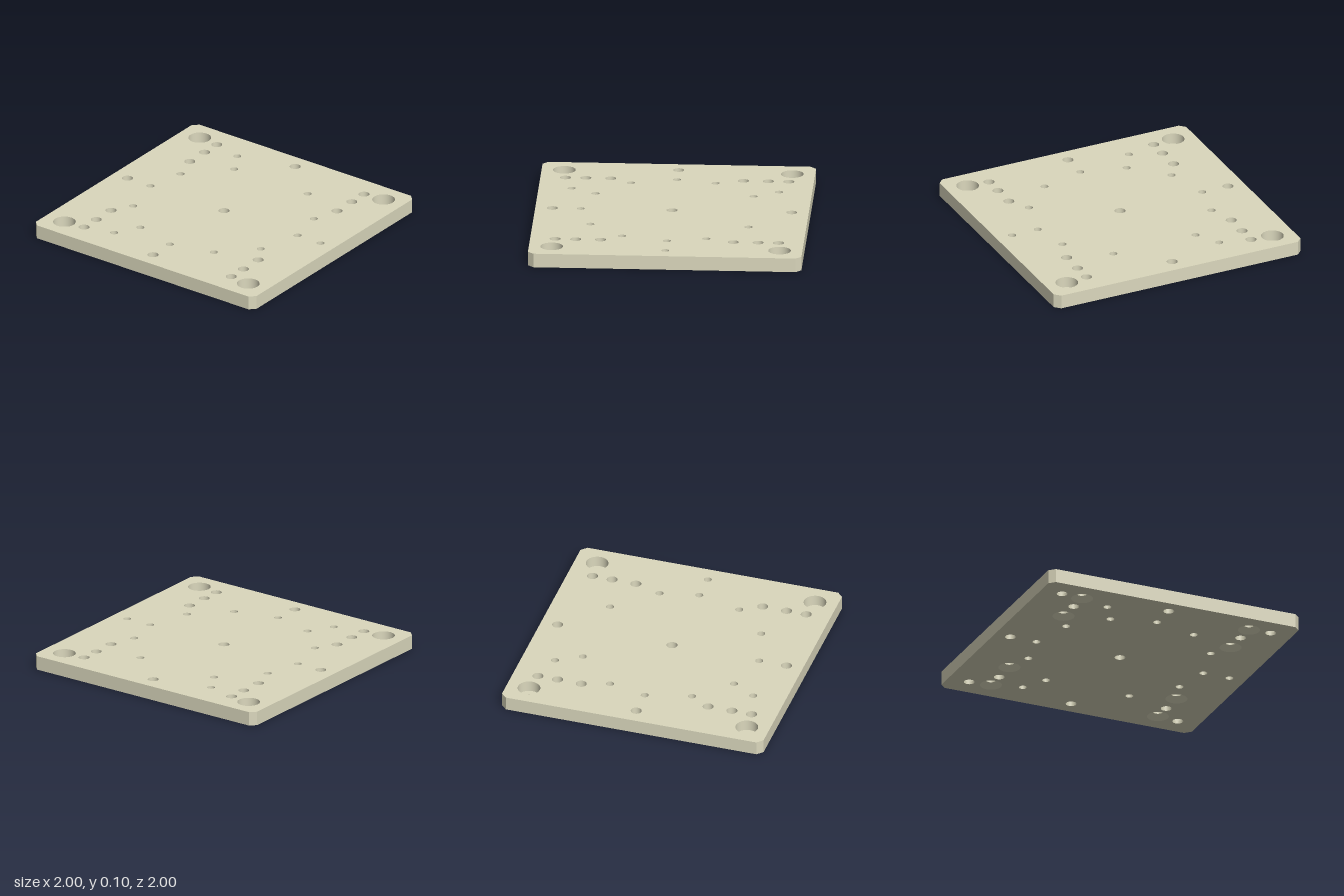
import * as THREE from 'three';

const H = 0.105;      // plate thickness
const C = 0.042;      // corner chamfer
const BIG = 0.04, SMALL = 0.029;
const BORE = 0.083, BORE_DEPTH = 0.083;
const SINK = 0.08, SINK_DEPTH = 0.04;

// Octagonal outline, as seen from above with shape y = -z
const OUTLINE = [
  [1 - C, -1], [1, -1 + C], [1, 1 - C], [1 - C, 1],
  [-1 + C, 1], [-1, 1 - C], [-1, -1 + C], [-1 + C, -1],
].map(([x, y]) => new THREE.Vector2(x, y));

function listHoles() {
  const holes = [];
  const add = (x, z, r, kind = 'throughHole') => holes.push({ x, z, r, kind });
  for (const sx of [-1, 1]) {
    for (const sz of [-1, 1]) {
      add(sx * 0.833, sz * 0.833, BIG, 'counterboredHole');
      add(sx * 0.667, sz * 0.817, BIG, 'countersunkHole');
      add(sx * 0.667, sz * 0.667, BIG);
      add(sx * 0.667, sz * 0.485, BIG, 'countersunkHole');
      add(sx * 0.333, sz * 0.578, SMALL);
    }
    add(sx * 0.667, 0, SMALL);
    add(sx * 0.604, -0.285, SMALL);
    add(sx * 0.578, 0.333, SMALL);
    add(-0.438, sx * 0.758, SMALL);
    add(0, sx * 0.875, BIG);
  }
  add(0, 0, BIG);
  add(-0.875, 0, BIG);
  add(0.875, 0, SMALL);
  add(0, 0.667, SMALL);
  return holes;
}

// Hole wall profile from top to bottom as [radius, y]
function holeProfile({ r, kind }) {
  if (kind === 'counterboredHole') return [[BORE, H], [BORE, H - BORE_DEPTH], [r, H - BORE_DEPTH], [r, 0]];
  if (kind === 'countersunkHole') return [[r, H], [r, SINK_DEPTH], [SINK, 0]];
  return [[r, H], [r, 0]];
}

// Plate face pierced by the holes at their mouth radius
function pierced(holes, mouth) {
  const shape = new THREE.Shape(OUTLINE);
  for (const h of holes) {
    const path = new THREE.Path();
    path.absarc(h.x, -h.z, mouth(holeProfile(h)), 0, Math.PI * 2, true);
    shape.holes.push(path);
  }
  return new THREE.ShapeGeometry(shape, 16);
}

export function createModel() {
  const model = new THREE.Group();
  model.name = 'mountingPlate';
  const material = new THREE.MeshStandardMaterial({ color: 0xdbd8bd });
  const inside = new THREE.MeshStandardMaterial({ color: 0xdbd8bd, side: THREE.DoubleSide });
  const holes = listHoles();

  const addMesh = (name, geometry, parent = model, mat = material) => {
    const mesh = new THREE.Mesh(geometry, mat);
    mesh.name = name;
    parent.add(mesh);
    return mesh;
  };

  // Top and bottom faces
  addMesh('topFace', pierced(holes, (p) => p[0][0]).rotateX(-Math.PI / 2).translate(0, H, 0));
  const bottom = pierced(holes, (p) => p[p.length - 1][0]).rotateX(-Math.PI / 2);
  const index = bottom.index.array;
  for (let i = 0; i < index.length; i += 3) [index[i], index[i + 1]] = [index[i + 1], index[i]];
  bottom.computeVertexNormals();
  addMesh('bottomFace', bottom);

  // Four sides and four chamfered corners
  OUTLINE.forEach((a, i) => {
    const b = OUTLINE[(i + 1) % OUTLINE.length];
    const wall = new THREE.PlaneGeometry(a.distanceTo(b), H);
    wall.rotateY(Math.atan2(b.y - a.y, b.x - a.x));
    wall.translate((a.x + b.x) / 2, H / 2, -(a.y + b.y) / 2);
    addMesh(i % 2 ? 'sideWall' : 'cornerChamfer', wall);
  });

  // Hole walls, one lathe per profile segment to keep the edges sharp
  for (const h of holes) {
    const group = new THREE.Group();
    group.name = h.kind;
    group.position.set(h.x, 0, h.z);
    const profile = holeProfile(h).map(([r, y]) => new THREE.Vector2(r, y));
    for (let i = 0; i + 1 < profile.length; i++) {
      addMesh('holeWall', new THREE.LatheGeometry([profile[i], profile[i + 1]], 32), group, inside);
    }
    model.add(group);
  }
  return model;
}
